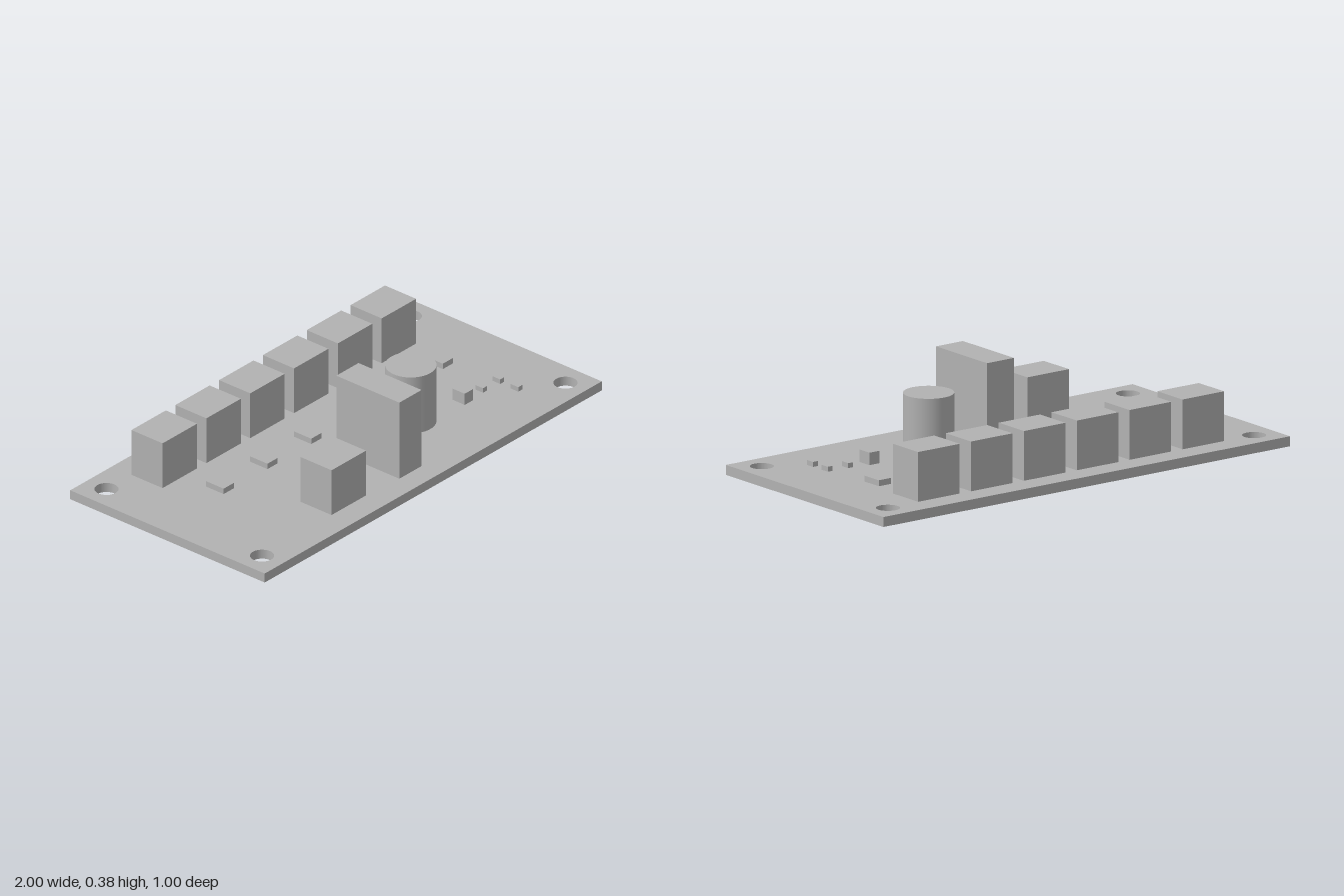
import * as THREE from 'three';

const BOARD_TOP = 0.04;

export function createModel() {
  const model = new THREE.Group();
  model.name = 'circuitBoard';
  const grey = new THREE.MeshStandardMaterial({ color: 0xb2b2b2 });
  grey.name = 'plain grey';

  const add = (name, geometry, x, y, z) => {
    const mesh = new THREE.Mesh(geometry, grey);
    mesh.name = name;
    mesh.position.set(x, y, z);
    model.add(mesh);
    return mesh;
  };

  // Box standing on the board, given its centre and its top height
  const block = (name, x, z, width, depth, top) => {
    const height = top - BOARD_TOP;
    add(name, new THREE.BoxGeometry(width, height, depth), x, BOARD_TOP + height / 2, z);
  };

  // Board with a mounting hole in each corner
  const outline = new THREE.Shape([
    new THREE.Vector2(-1, -0.5), new THREE.Vector2(1, -0.5),
    new THREE.Vector2(1, 0.5), new THREE.Vector2(-1, 0.5),
  ]);
  for (const x of [-0.9, 0.9]) {
    for (const z of [-0.4, 0.4]) {
      const hole = new THREE.Path();
      hole.absarc(x, z, 0.047, 0, Math.PI * 2, true);
      outline.holes.push(hole);
    }
  }
  const board = new THREE.ExtrudeGeometry(outline, {
    depth: BOARD_TOP, bevelEnabled: false, curveSegments: 32,
  });
  board.rotateX(-Math.PI / 2);
  add('board', board, 0, 0, 0);

  // Row of connectors along the back, each with a small chip in front
  for (let i = 0; i < 6; i++) {
    const offset = i * 0.26;
    block('connector', -0.65 + offset, -0.32, 0.204, 0.16, 0.24);
    block('driverChip', -0.602 + offset, -0.075, 0.06, 0.09, 0.064);
  }

  // Large parts near the front
  block('powerConnector', -0.38, 0.315, 0.204, 0.16, 0.24);
  block('tallModule', -0.028, 0.245, 0.132, 0.324, 0.38);
  add('capacitor', new THREE.CylinderGeometry(0.1, 0.1, 0.25, 48), 0.28, 0.165, 0.142);

  // Small surface parts on the right
  block('regulator', 0.536, 0.187, 0.05, 0.064, 0.09);
  block('resistor', 0.642, 0.19, 0.024, 0.04, 0.06);
  block('resistor', 0.738, 0.195, 0.024, 0.04, 0.06);
  block('resistor', 0.738, 0.288, 0.024, 0.04, 0.06);

  return model;
}
